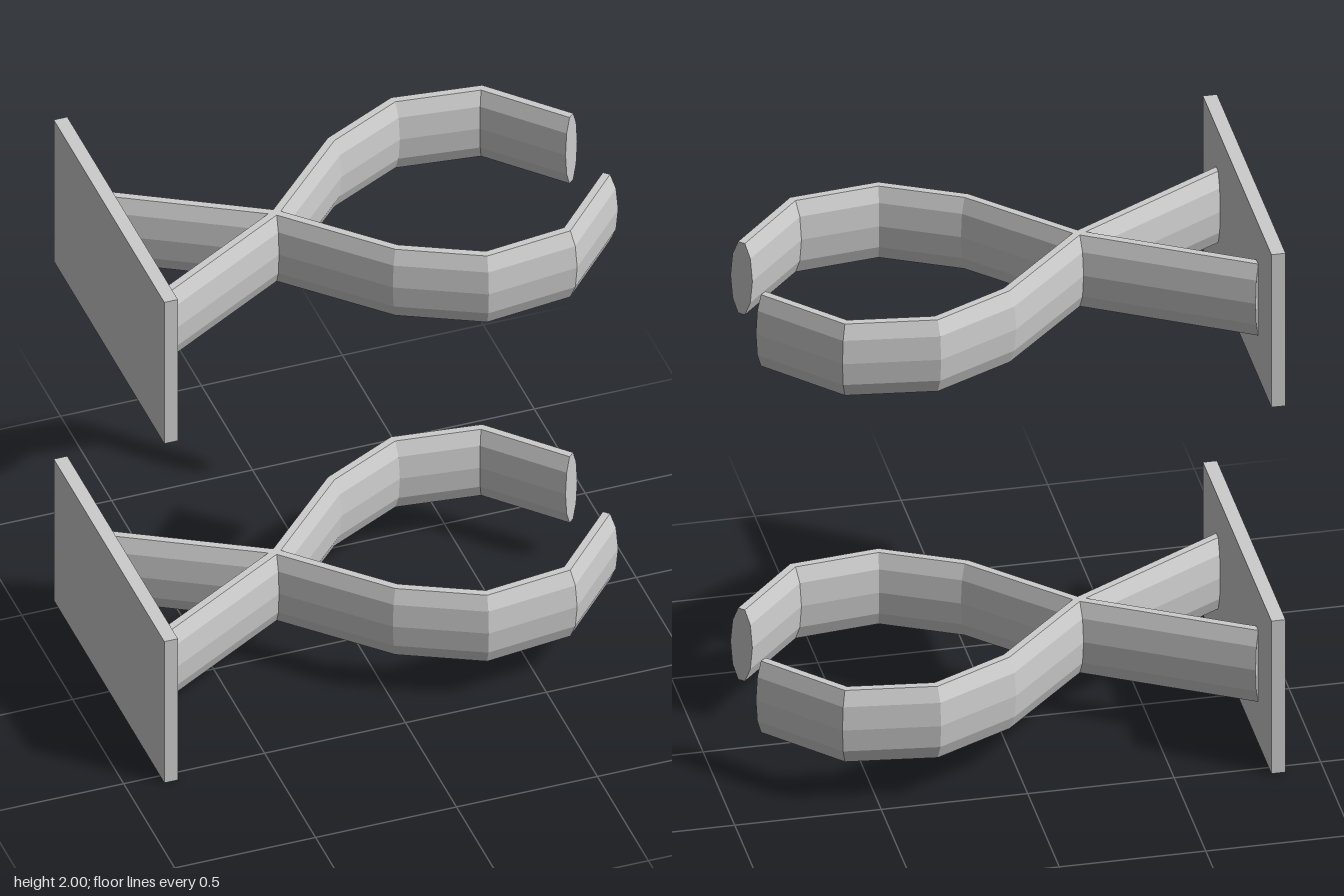
import * as THREE from 'three';

const SIDES = 10;
const HALF_WIDTH = 0.0425, HALF_HEIGHT = 0.1446;

// Sweep an upright oval section along a flat path of [x, z] points, with mitred bends
function sweepOval(path) {
  const points = path.map(([x, z]) => new THREE.Vector2(x, z));
  const normals = points.slice(1).map((p, i) => {
    const d = p.clone().sub(points[i]).normalize();
    return new THREE.Vector2(-d.y, d.x);
  });
  const last = points.length - 1;
  const rings = points.map((p, i) => {
    const before = normals[Math.max(i - 1, 0)];
    const after = normals[Math.min(i, last - 1)];
    const mitre = before.clone().add(after).normalize();
    const width = HALF_WIDTH / mitre.dot(after);
    return Array.from({ length: SIDES }, (_, j) => {
      const a = (j / SIDES) * Math.PI * 2;
      const offset = Math.cos(a) * width;
      return [p.x + mitre.x * offset, Math.sin(a) * HALF_HEIGHT, p.y + mitre.y * offset];
    });
  });

  const positions = [];
  const triangle = (a, b, c) => positions.push(...a, ...b, ...c);
  const startCentre = [points[0].x, 0, points[0].y];
  const endCentre = [points[last].x, 0, points[last].y];
  for (let j = 0; j < SIDES; j++) {
    const k = (j + 1) % SIDES;
    for (let i = 0; i < last; i++) {
      triangle(rings[i][j], rings[i + 1][j], rings[i][k]);
      triangle(rings[i][k], rings[i + 1][j], rings[i + 1][k]);
    }
    triangle(startCentre, rings[0][j], rings[0][k]);
    triangle(endCentre, rings[last][k], rings[last][j]);
  }
  const geometry = new THREE.BufferGeometry();
  geometry.setAttribute('position', new THREE.Float32BufferAttribute(positions, 3));
  geometry.computeVertexNormals();
  return geometry;
}

export function createModel() {
  const model = new THREE.Group();
  model.name = 'wallClamps';
  const grey = new THREE.MeshStandardMaterial({ color: 0xcccccc });
  grey.name = 'light grey';

  // Each arm crosses the other at the neck, then curves round into a claw
  const armPath = [[-0.83, -0.321], [-0.28, 0], [0.033, 0.32], [0.303, 0.457], [0.603, 0.42], [0.832, 0.172]];
  const plateGeometry = new THREE.BoxGeometry(0.048, 0.588, 1.084);
  const armGeometries = [1, -1].map(s => sweepOval(armPath.map(([x, z]) => [x, z * s])));

  // Two identical clamps, one above the other
  [['lowerClamp', 0.294], ['upperClamp', 1.706]].forEach(([name, y]) => {
    const clamp = new THREE.Group();
    clamp.name = name;
    clamp.position.y = y;

    const plate = new THREE.Mesh(plateGeometry, grey);
    plate.name = 'backPlate';
    plate.position.x = -0.847;
    clamp.add(plate);

    armGeometries.forEach((geometry, i) => {
      const arm = new THREE.Mesh(geometry, grey);
      arm.name = i === 0 ? 'frontClawArm' : 'rearClawArm';
      arm.position.y = 0.002;
      clamp.add(arm);
    });
    model.add(clamp);
  });
  return model;
}
